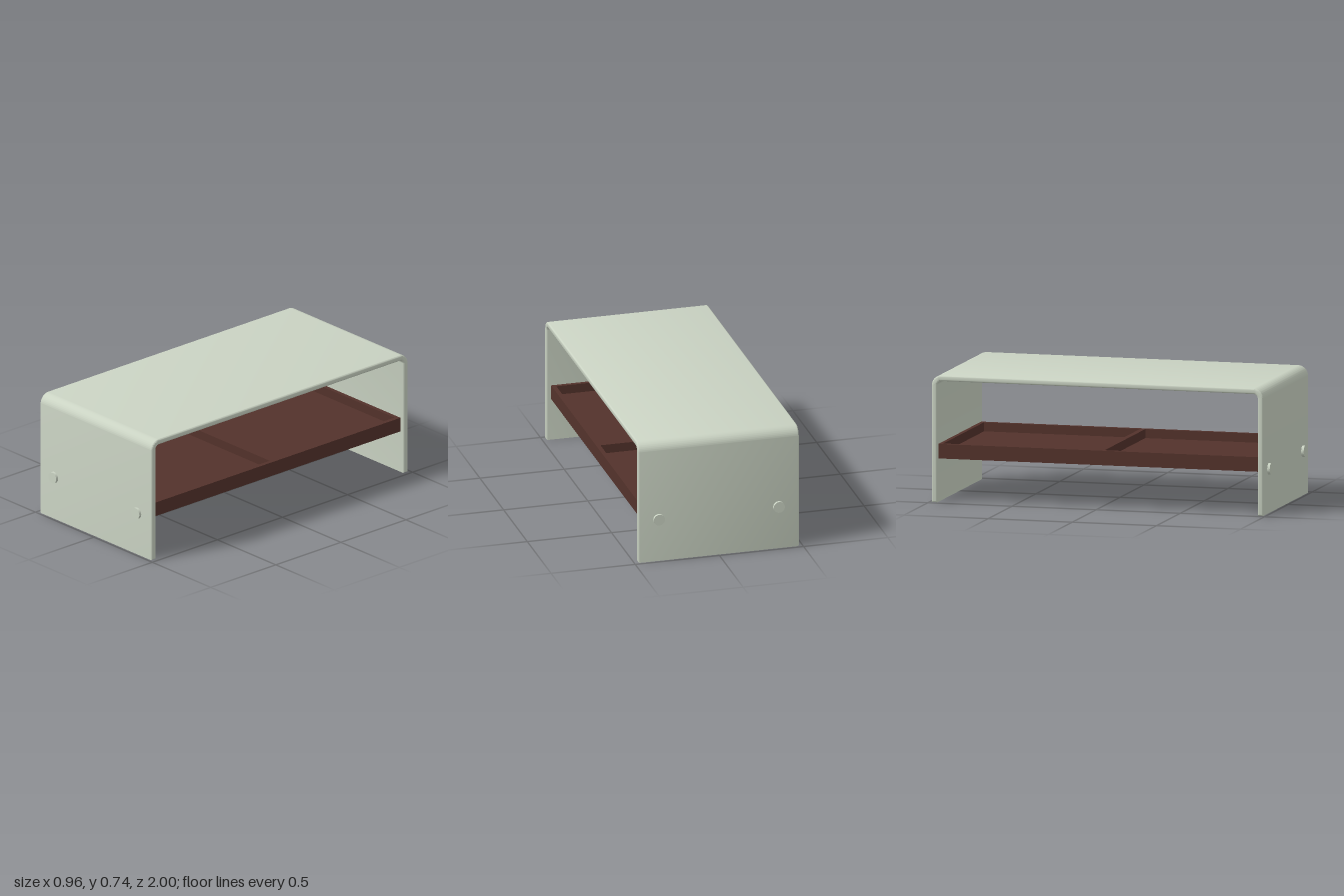
import * as THREE from 'three';
import { toCreasedNormals } from 'three/addons/utils/BufferGeometryUtils.js';

const HALF_WIDTH = 0.478, HEIGHT = 0.735, HALF_LENGTH = 0.985, THICK = 0.033;

function rectangle(Type, x0, y0, x1, y1) {
  const r = new Type();
  r.moveTo(x0, y0);
  r.lineTo(x1, y0);
  r.lineTo(x1, y1);
  r.lineTo(x0, y1);
  r.closePath();
  return r;
}

// Bent sheet: an upside-down U with rounded bends, extruded across the width
function shellGeometry() {
  const outer = 0.06, inner = outer - THICK;
  const cx = HALF_LENGTH - outer, cy = HEIGHT - outer, inside = HALF_LENGTH - THICK;
  const s = new THREE.Shape();
  s.moveTo(HALF_LENGTH, 0);
  s.lineTo(HALF_LENGTH, cy);
  s.absarc(cx, cy, outer, 0, Math.PI / 2, false);
  s.lineTo(-cx, HEIGHT);
  s.absarc(-cx, cy, outer, Math.PI / 2, Math.PI, false);
  s.lineTo(-HALF_LENGTH, 0);
  s.lineTo(-inside, 0);
  s.lineTo(-inside, cy);
  s.absarc(-cx, cy, inner, Math.PI, Math.PI / 2, true);
  s.lineTo(cx, HEIGHT - THICK);
  s.absarc(cx, cy, inner, Math.PI / 2, 0, true);
  s.lineTo(inside, 0);
  s.closePath();
  const bevel = 0.009;
  const g = new THREE.ExtrudeGeometry(s, {
    depth: 2 * (HALF_WIDTH - bevel), curveSegments: 10,
    bevelEnabled: true, bevelSize: bevel, bevelThickness: bevel, bevelOffset: -bevel, bevelSegments: 3,
  });
  g.translate(0, 0, -(HALF_WIDTH - bevel));
  g.rotateY(-Math.PI / 2);
  return toCreasedNormals(g, 0.65);
}

// Tray rim with two compartments separated by a divider
function rimGeometry(hx, hz, height) {
  const wall = 0.025, divider = 0.015, mid = -0.015;
  const s = rectangle(THREE.Shape, -hx, -hz, hx, hz);
  s.holes.push(
    rectangle(THREE.Path, -hx + wall, -hz + wall, hx - wall, mid - divider),
    rectangle(THREE.Path, -hx + wall, mid + divider, hx - wall, hz - wall),
  );
  const g = new THREE.ExtrudeGeometry(s, { depth: height, bevelEnabled: false });
  g.rotateX(-Math.PI / 2);
  return g;
}

export function createModel() {
  const model = new THREE.Group();
  model.name = 'desktopShelf';
  const paint = new THREE.MeshStandardMaterial({ name: 'paleSage', color: 0xcad3c3 });
  const wood = new THREE.MeshStandardMaterial({ name: 'darkWood', color: 0x53322b });

  const add = (name, geometry, material, parent = model) => {
    const mesh = new THREE.Mesh(geometry, material);
    mesh.name = name;
    parent.add(mesh);
    return mesh;
  };

  add('shell', shellGeometry(), paint);

  // Tray hung between the two end panels
  const tray = new THREE.Group();
  tray.name = 'tray';
  model.add(tray);
  const hx = 0.45, hz = HALF_LENGTH - THICK + 0.002;
  add('trayFloor', new THREE.BoxGeometry(2 * hx, 0.032, 2 * hz), wood, tray).position.y = 0.267;
  add('trayRim', rimGeometry(hx, hz, 0.052), wood, tray).position.y = 0.283;

  // Round bolt heads on both end panels
  const bolt = new THREE.CylinderGeometry(0.033, 0.033, 0.02, 32);
  bolt.rotateX(Math.PI / 2);
  for (const z of [-1, 1]) {
    for (const x of [-1, 1]) {
      const name = (z > 0 ? 'front' : 'back') + (x > 0 ? 'Left' : 'Right') + 'Bolt';
      add(name, bolt, paint).position.set(x * 0.356, 0.257, z * 0.99);
    }
  }
  return model;
}
